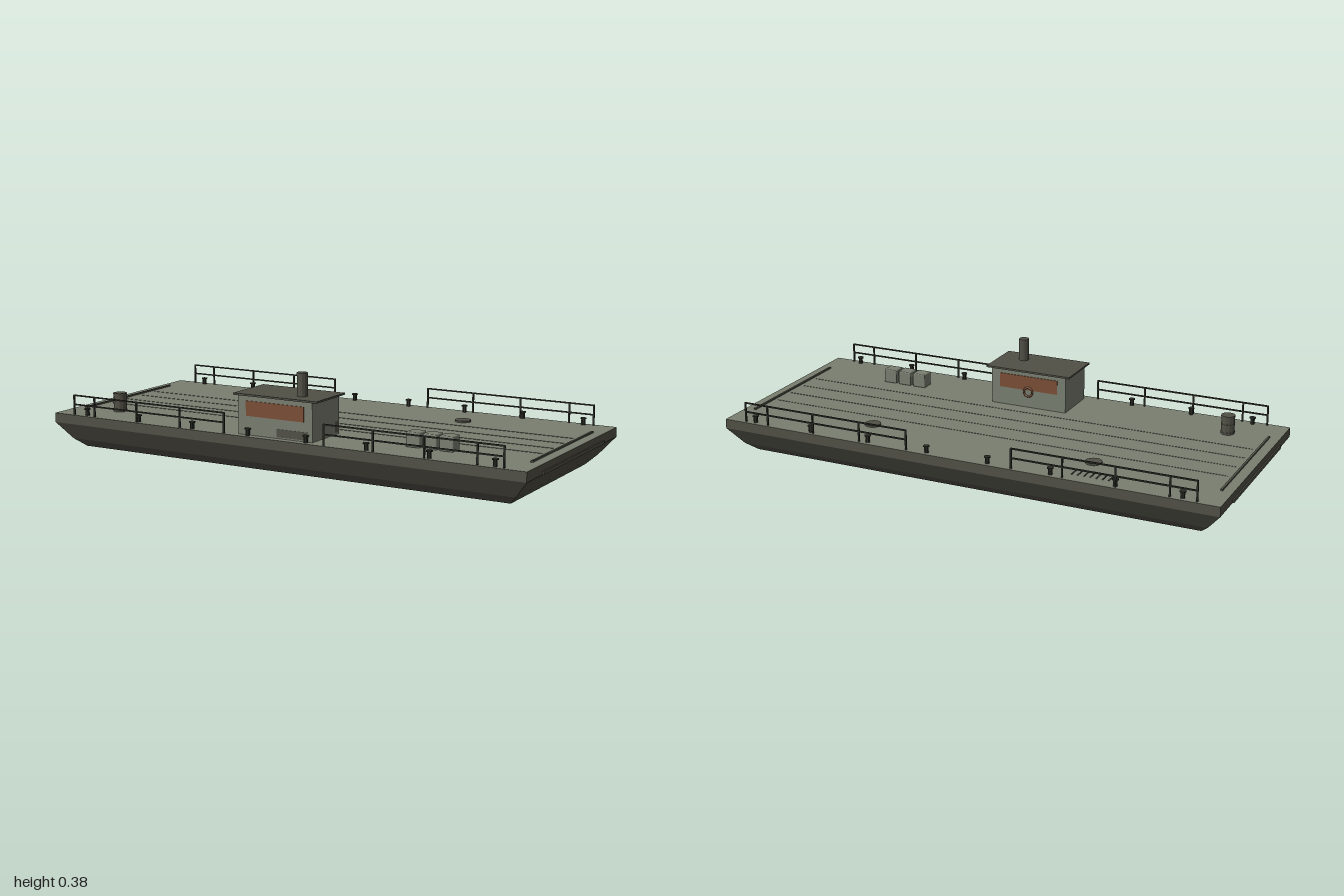
import * as THREE from 'three';
import { RoundedBoxGeometry } from 'three/addons/geometries/RoundedBoxGeometry.js';

export function createModel() {
  const model = new THREE.Group();
  const mat = (name, color, side = THREE.FrontSide) => {
    const m = new THREE.MeshStandardMaterial({ color, side });
    m.name = name;
    return m;
  };
  // The hull is an open shell, so its plating and deck show from both sides
  const deckMat = mat('deck green grey', 0x797e70, THREE.DoubleSide);
  const hullMat = mat('hull brown grey', 0x515046, THREE.DoubleSide);
  const darkMat = mat('dark fittings', 0x2d2d28);
  const windowMat = mat('rust windows', 0x7a4e36);

  const add = (name, geo, material, x = 0, y = 0, z = 0, parent = model) => {
    const mesh = new THREE.Mesh(geo, material);
    mesh.name = name;
    mesh.position.set(x, y, z);
    parent.add(mesh);
    return mesh;
  };
  const box = (name, w, h, d, material, x, y, z, parent) =>
    add(name, new THREE.BoxGeometry(w, h, d), material, x, y, z, parent);
  // Faceted geometry: every face gets its own normal
  const faceted = (geo) => {
    const flat = geo.toNonIndexed();
    flat.computeVertexNormals();
    return flat;
  };
  const cyl = (name, r, h, sides, material, x, y, z, parent) =>
    add(name, faceted(new THREE.CylinderGeometry(r, r, h, sides)), material, x, y, z, parent);
  const group = (name) => {
    const g = new THREE.Group();
    g.name = name;
    model.add(g);
    return g;
  };

  const DECK = 0.137;

  // Hull plating, open at top and bottom: four levels of [y, half x, half z] joined by quads
  const levels = [[0, 0.905, 0.34], [0.034, 0.94, 0.38], [0.1, 0.995, 0.42], [DECK, 0.995, 0.42]];
  const corners = [[1, 1], [1, -1], [-1, -1], [-1, 1]];
  const at = (level, corner) => {
    const [y, hx, hz] = levels[level];
    const [sx, sz] = corners[corner % 4];
    return [sx * hx, y, sz * hz];
  };
  const points = [];
  for (let l = 0; l < 3; l++) {
    for (let c = 0; c < 4; c++) {
      const [a, b, d, e] = [at(l, c), at(l, c + 1), at(l + 1, c + 1), at(l + 1, c)];
      points.push(...a, ...b, ...d, ...a, ...d, ...e);
    }
  }
  const hullGeo = new THREE.BufferGeometry();
  hullGeo.setAttribute('position', new THREE.Float32BufferAttribute(points, 3));
  hullGeo.computeVertexNormals();
  add('hullPlating', hullGeo, hullMat);

  // Deck sheet
  add('deck', new THREE.PlaneGeometry(1.99, 0.84).rotateX(-Math.PI / 2), deckMat, 0, DECK, 0);

  // Lengthwise deck seams
  for (const z of [-0.147, -0.051, 0.044, 0.14]) {
    box('deckSeam', 1.866, 0.0012, 0.003, deckMat, 0, DECK + 0.0006, z);
  }

  // End fenders and low coamings
  for (const s of [-1, 1]) {
    box('endFender', 0.01, 0.012, 0.57, hullMat, s * 0.995, 0.106, 0);
    box('endCoaming', 0.008, 0.006, 0.565, hullMat, s * 0.953, DECK + 0.003, 0);
  }

  // Deckhouse with roof, windows, base panels, life ring and funnel
  const house = group('deckhouse');
  box('cabin', 0.315, 0.146, 0.19, deckMat, -0.0025, DECK + 0.073, 0.295, house);
  box('roof', 0.353, 0.007, 0.205, hullMat, -0.002, 0.285, 0.292, house);
  box('frontWindow', 0.245, 0.056, 0.004, windowMat, -0.0025, 0.236, 0.391, house);
  box('backWindow', 0.245, 0.056, 0.004, windowMat, -0.0025, 0.236, 0.199, house);
  box('frontBasePanel', 0.13, 0.03, 0.002, hullMat, 0.07, DECK + 0.02, 0.39, house);
  box('sideBasePanel', 0.002, 0.04, 0.022, hullMat, 0.155, DECK + 0.028, 0.219, house);
  add('lifeRing', new THREE.TorusGeometry(0.018, 0.004, 8, 18), windowMat, -0.0025, 0.201, 0.196, house);
  cyl('funnel', 0.02, 0.087, 12, hullMat, 0.073, 0.3315, 0.322, house);

  // Drum with rims
  const drum = group('drum');
  cyl('drumBody', 0.026, 0.073, 12, hullMat, -0.798, DECK + 0.0365, 0.262, drum);
  for (const y of [0.006, 0.038, 0.07]) cyl('drumRim', 0.0275, 0.005, 12, hullMat, -0.798, DECK + y, 0.262, drum);

  // Crates with softened edges
  for (const x of [0.5, 0.566, 0.631]) {
    add('crate', new RoundedBoxGeometry(0.055, 0.056, 0.055, 1, 0.004), deckMat, x, DECK + 0.028, 0.254);
  }

  // Hatches
  for (const x of [-0.457, 0.452]) cyl('hatch', 0.031, 0.0065, 16, hullMat, x, DECK + 0.00325, -0.23);

  // Deck grating
  for (let i = 0; i < 7; i++) {
    box('gratingBar', 0.004, 0.003, 0.052, hullMat, -0.57 + i * 0.0235, DECK + 0.0015, -0.341);
  }

  // Bollards and railings on both sides
  for (const s of [-1, 1]) {
    for (let i = 0; i < 8; i++) {
      const x = -0.853 + i * 0.2463;
      cyl('bollard', 0.0085, 0.024, 8, darkMat, x, DECK + 0.012, s * 0.398);
      cyl('bollardCap', 0.0125, 0.004, 8, darkMat, x, DECK + 0.025, s * 0.398);
    }
    for (const e of [-1, 1]) {
      const rail = group('railing');
      for (const y of [0.213, 0.177]) box('railBar', 0.7, 0.005, 0.006, darkMat, e * 0.56, y, s * 0.408, rail);
      for (const x of [0.212, 0.41, 0.61, 0.81, 0.908]) {
        box('railPost', 0.006, 0.077, 0.006, darkMat, e * x, DECK + 0.0385, s * 0.408, rail);
      }
    }
  }
  return model;
}
